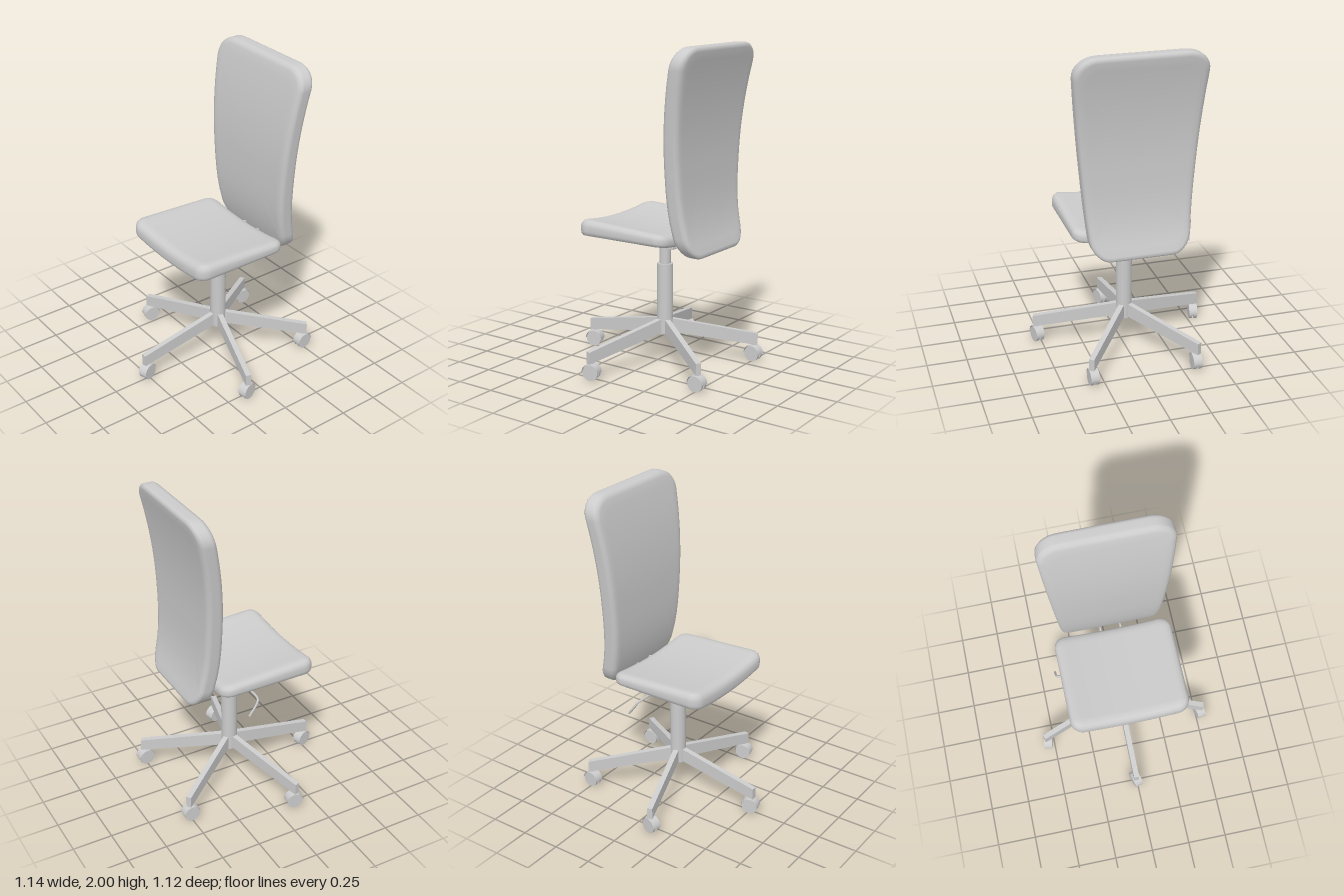
import * as THREE from 'three';

const material = new THREE.MeshStandardMaterial({ color: 0xcccccc });
const openMaterial = new THREE.MeshStandardMaterial({ color: 0xcccccc, side: THREE.DoubleSide });

function part(name, geometry, parent, x = 0, y = 0, z = 0, mat = material) {
  const mesh = new THREE.Mesh(geometry, mat);
  mesh.name = name;
  mesh.position.set(x, y, z);
  parent.add(mesh);
  return mesh;
}

// Side profile in (z, y), given thickness along x
function sideExtrude(points, width) {
  const shape = new THREE.Shape(points.map(([z, y]) => new THREE.Vector2(z, y)));
  const geo = new THREE.ExtrudeGeometry(shape, { depth: width, bevelEnabled: false });
  return geo.translate(0, 0, -width / 2).rotateY(-Math.PI / 2);
}

function tube(points, radius) {
  const curve = new THREE.CatmullRomCurve3(points.map(p => new THREE.Vector3(...p)), false, 'centripetal');
  return new THREE.TubeGeometry(curve, 40, radius, 8);
}

// Rounded rectangle, counter-clockwise, with subdivided edges
function roundedOutline(hu, hv, r, inset) {
  const pts = [], rr = r - inset, cu = hu - r, cv = hv - r;
  const corners = [[cu, cv], [-cu, cv], [-cu, -cv], [cu, -cv]];
  corners.forEach(([u, v], k) => {
    for (let i = 0; i <= 8; i++) {
      const a = (k + i / 8) * Math.PI / 2;
      pts.push([u + rr * Math.cos(a), v + rr * Math.sin(a)]);
    }
    const [u0, v0] = pts[pts.length - 1], [u1, v1] = corners[(k + 1) % 4];
    const a = (k + 1) * Math.PI / 2;
    const eu = u1 + rr * Math.cos(a), ev = v1 + rr * Math.sin(a);
    for (let i = 1; i < 12; i++) pts.push([u0 + (eu - u0) * i / 12, v0 + (ev - v0) * i / 12]);
  });
  return pts;
}

// Cushion lofted through rings from the centre of one face, round the edge, to the other.
// edge holds [inset, t]; map turns (u, v, t) into a position.
function cushion(hu, hv, r, edge, map) {
  const rings = [], steps = 12;
  for (let i = 0; i < steps; i++) rings.push([i / steps, ...edge[0]]);
  edge.forEach(e => rings.push([1, ...e]));
  for (let i = steps - 1; i >= 0; i--) rings.push([i / steps, ...edge[edge.length - 1]]);
  const pos = [], index = [];
  let n = 0;
  rings.forEach(([s, inset, t], k) => {
    const outline = roundedOutline(hu, hv, r, inset);
    n = outline.length;
    outline.forEach(([u, v], j) => {
      pos.push(...map(u * s, v * s, t));
      if (k === rings.length - 1) return;
      const a = k * n + j, b = k * n + (j + 1) % n;
      if (k > 0) index.push(a, b, b + n);
      if (k < rings.length - 2) index.push(a, b + n, a + n);
      else index.push(a, b, a + n);
    });
  });
  const geo = new THREE.BufferGeometry();
  geo.setAttribute('position', new THREE.Float32BufferAttribute(pos, 3));
  geo.setIndex(index);
  geo.computeVertexNormals();
  return geo;
}

// Twin-wheel caster rolling along z
function makeCaster() {
  const caster = new THREE.Group();
  caster.name = 'caster';
  for (const side of [-1, 1]) {
    const wheel = new THREE.CylinderGeometry(0.049, 0.049, 0.019, 24).rotateZ(Math.PI / 2);
    part('wheel', wheel, caster, side * 0.0165, 0.05, 0);
  }
  const hood = new THREE.CylinderGeometry(0.055, 0.055, 0.054, 16, 1, true, 0, Math.PI).rotateZ(Math.PI / 2);
  part('hood', hood, caster, 0, 0.05, 0, openMaterial);
  const web = new THREE.CylinderGeometry(0.054, 0.054, 0.012, 16, 1, false, 0, Math.PI).rotateZ(Math.PI / 2);
  part('hoodWeb', web, caster, 0, 0.05, 0, openMaterial);
  part('stem', new THREE.CylinderGeometry(0.012, 0.012, 0.06, 12), caster, 0, 0.11, 0);
  return caster;
}

export function createModel() {
  const chair = new THREE.Group();
  chair.name = 'officeChair';
  const cx = -0.008, cz = -0.05;

  // Seat: wedge cushion, dished across its width
  const seat = cushion(0.375, 0.318, 0.075,
    [[0.012, 0], [0.012, 0], [0.003, 0.1], [0, 0.25], [0, 0.55], [0.006, 0.75], [0.02, 0.92], [0.045, 1]],
    (u, v, t) => {
      const height = 0.075 - 0.05 * v;
      return [u, 0.81 + 0.032 * (u / 0.375) ** 2 + t * height + (t - 0.5) * 0.012, -v];
    });
  part('seat', seat, chair, cx, 0.004, 0.033);

  // Backrest: tapers downward and bows forward at the lumbar
  const backrest = cushion(0.355, 0.62, 0.13,
    [[0.03, 0], [0.012, 0.06], [0.002, 0.18], [0, 0.3], [0, 0.7], [0.002, 0.82], [0.012, 0.94], [0.03, 1]],
    (u, v, t) => {
      const y = v + 1.38, d = y - 1.32;
      const bow = d > 0 ? 0.195 * d * d : 0.48 * -d * d * d;
      const width = 0.315 + 0.089 * (y - 0.93);
      return [u * width / 0.355, y, -0.32 - bow + (t - 0.5) * 0.106];
    });
  part('backrest', backrest, chair, cx);

  // Tilt mechanism under the seat and the bracket to the backrest
  const housing = [[0.085, 0.82], [0.085, 0.78], [0.035, 0.755], [-0.165, 0.755], [-0.165, 0.82]];
  part('mechanism', sideExtrude(housing, 0.17), chair, cx);
  for (const side of [-1, 1]) {
    const x = cx + side * 0.065;
    part('bracketArm', new THREE.BoxGeometry(0.02, 0.022, 0.1), chair, x, 0.78, -0.21);
    part('bracketSpring', tube([[x, 0.78, -0.24], [x, 0.785, -0.28], [x, 0.835, -0.305],
      [x, 0.825, -0.325], [x, 0.78, -0.345], [x, 0.79, -0.38]], 0.007), chair);
  }
  part('bracketBar', new THREE.BoxGeometry(0.15, 0.022, 0.02), chair, cx, 0.78, -0.25);

  // Height lever on the right
  part('lever', tube([[-0.06, 0.787, -0.06], [-0.25, 0.787, -0.06], [-0.375, 0.787, -0.06],
    [-0.4, 0.78, -0.067], [-0.407, 0.755, -0.082], [-0.409, 0.69, -0.13]], 0.007), chair);

  // Gas lift
  part('column', new THREE.CylinderGeometry(0.05, 0.05, 0.45, 32), chair, cx, 0.415, cz);
  part('piston', new THREE.CylinderGeometry(0.035, 0.035, 0.18, 32), chair, cx, 0.69, cz);

  // Five-legged base, casters each swivelled a little
  const swivel = [0.3, 0.25, 0.03, -0.03, -0.2];
  const legProfile = [[0, 0.205], [0.582, 0.105], [0.582, 0.18], [0, 0.293]];
  for (let i = 0; i < 5; i++) {
    const angle = i * Math.PI * 2 / 5;
    part('leg', sideExtrude(legProfile, 0.034), chair, cx, 0, cz).rotation.y = angle;
    const caster = makeCaster();
    caster.position.set(cx + 0.557 * Math.sin(angle), 0, cz + 0.557 * Math.cos(angle));
    caster.rotation.y = swivel[i];
    chair.add(caster);
  }
  return chair;
}
